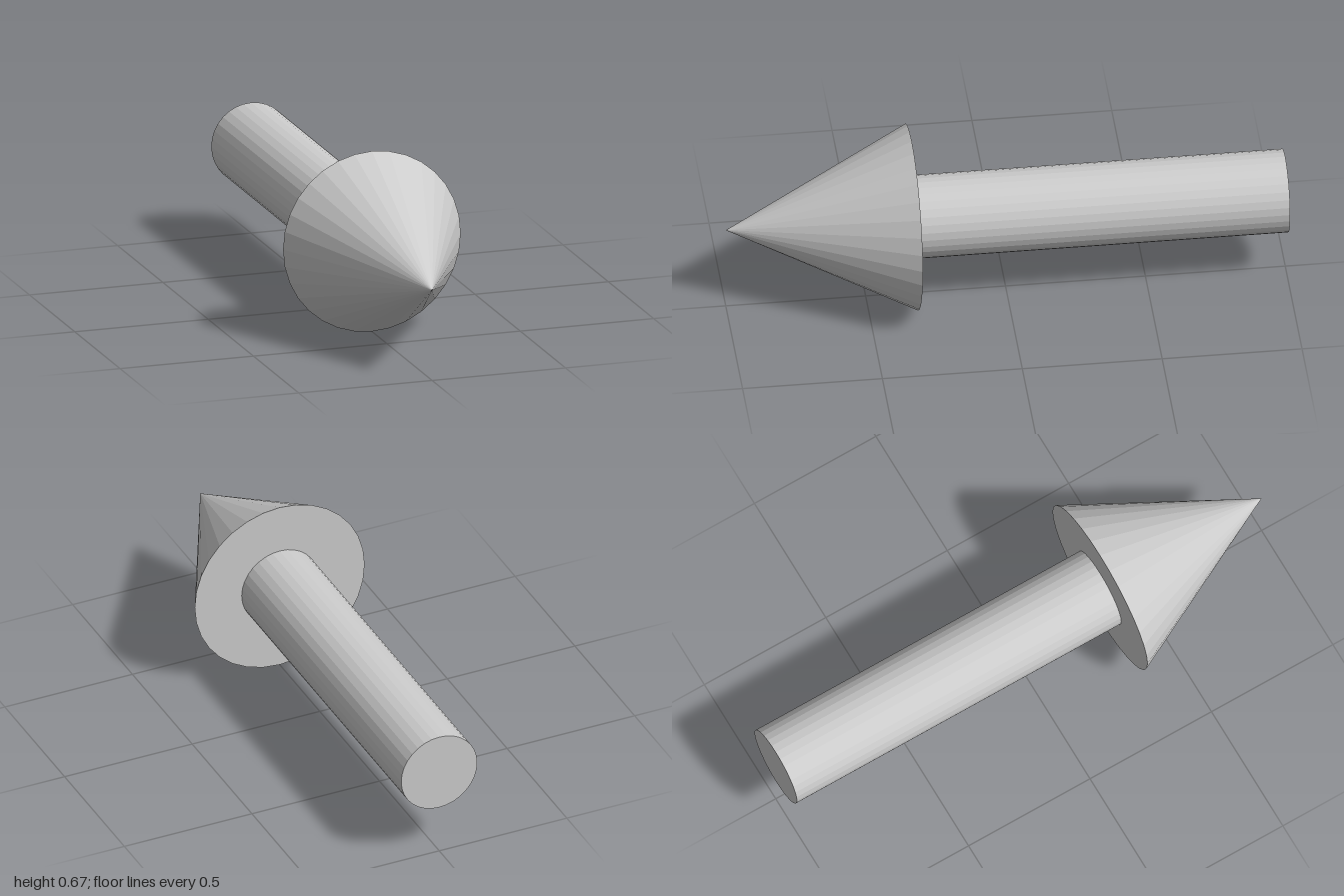
import * as THREE from 'three';

const SIDES = 32;
const HEAD_RADIUS = 0.333;
const HEAD_BASE_Z = 0.335;
const SHAFT_RADIUS = 0.149;

export function createModel() {
  const model = new THREE.Group();
  model.name = 'arrow';
  const material = new THREE.MeshStandardMaterial({ color: 0xcccccc, flatShading: true });

  // Adds a round part lying along z, from zBack to zFront
  const addPart = (name, frontRadius, backRadius, zBack, zFront) => {
    const length = zFront - zBack;
    const geometry = new THREE.CylinderGeometry(frontRadius, backRadius, length, SIDES);
    geometry.rotateX(Math.PI / 2);
    const mesh = new THREE.Mesh(geometry, material);
    mesh.name = name;
    mesh.position.set(0, HEAD_RADIUS, (zBack + zFront) / 2);
    model.add(mesh);
  };

  // Pointed cone facing the front
  addPart('arrowHead', 0, HEAD_RADIUS, HEAD_BASE_Z, 1);
  // Straight rod behind it
  addPart('shaft', SHAFT_RADIUS, SHAFT_RADIUS, -1, HEAD_BASE_Z);

  return model;
}
